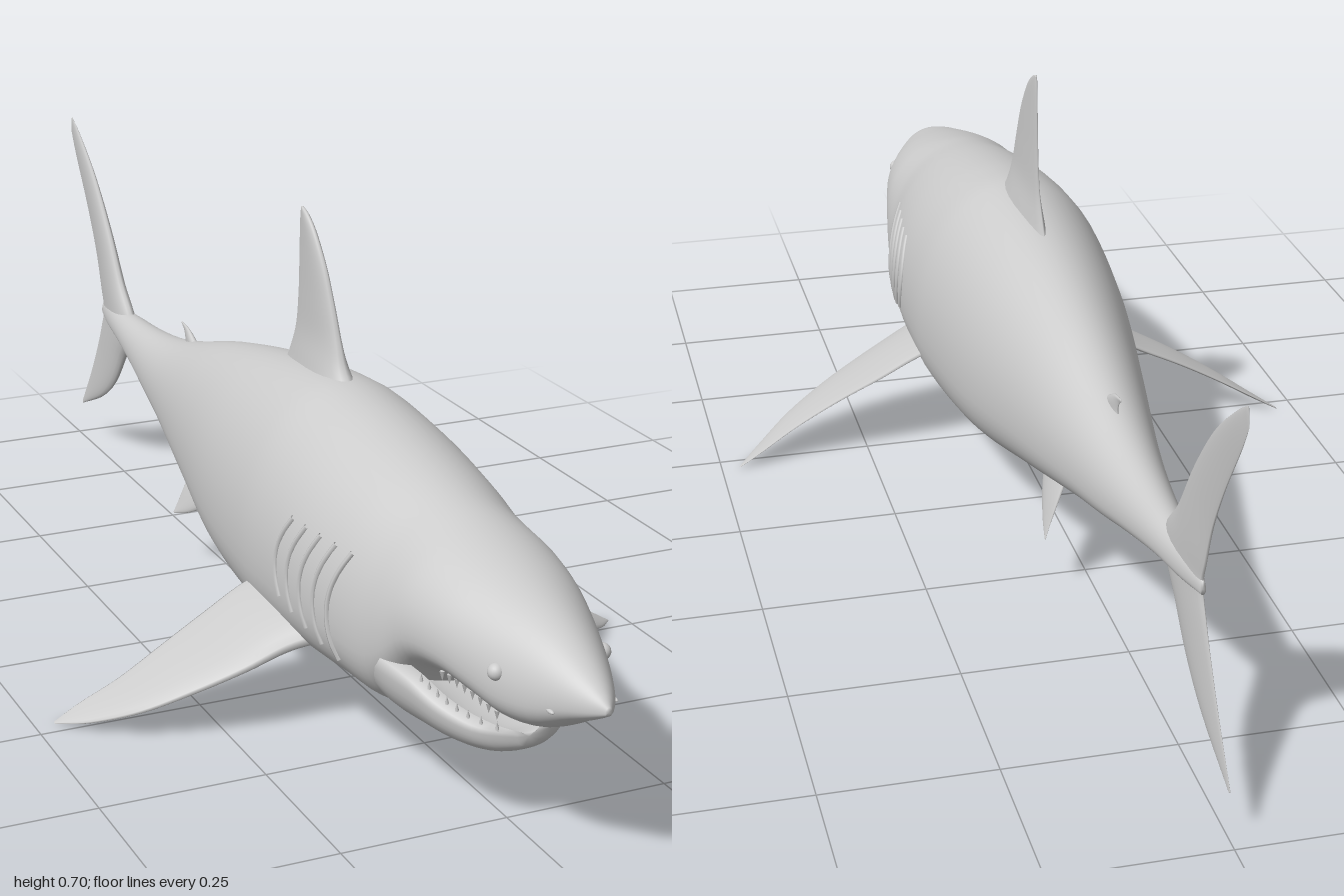
import * as THREE from 'three';

const material = new THREE.MeshStandardMaterial({ color: 0xcccccc, side: THREE.DoubleSide });
const V = (x, y, z) => new THREE.Vector3(x, y, z);

// Smooth interpolation of table rows [key, ...values], keys ascending
function at(table, key) {
  let i = 0;
  while (i < table.length - 2 && key > table[i + 1][0]) i++;
  const a = table[i], b = table[i + 1];
  const p = table[Math.max(i - 1, 0)], n = table[Math.min(i + 2, table.length - 1)];
  const d = b[0] - a[0], t = (key - a[0]) / d, t2 = t * t, t3 = t2 * t;
  return a.slice(1).map((v, j) => {
    const k = j + 1;
    const ma = (b[k] - p[k]) / (b[0] - p[0]) * d, mb = (n[k] - a[k]) / (n[0] - a[0]) * d;
    return (2 * t3 - 3 * t2 + 1) * v + (t3 - 2 * t2 + t) * ma + (3 * t2 - 2 * t3) * b[k] + (t3 - t2) * mb;
  });
}

// Closed skin over rings of points, turned outwards by its signed volume
function loft(rings) {
  const n = rings[0].length, pts = rings.flat(), index = [];
  for (let r = 0; r < rings.length - 1; r++) {
    for (let k = 0; k < n; k++) {
      const a = r * n + k, b = r * n + (k + 1) % n;
      index.push(a, b, a + n, b, b + n, a + n);
    }
  }
  for (const [r, flip] of [[0, true], [rings.length - 1, false]]) {
    const c = pts.length;
    pts.push(rings[r].reduce((s, p) => s.add(p), V(0, 0, 0)).divideScalar(n));
    for (let k = 0; k < n; k++) {
      const a = r * n + k, b = r * n + (k + 1) % n;
      index.push(...(flip ? [c, b, a] : [c, a, b]));
    }
  }
  let volume = 0;
  for (let i = 0; i < index.length; i += 3) {
    volume += pts[index[i]].dot(pts[index[i + 1]].clone().cross(pts[index[i + 2]]));
  }
  if (volume < 0) index.reverse();
  const g = new THREE.BufferGeometry().setFromPoints(pts);
  g.setIndex(index);
  g.computeVertexNormals();
  return g;
}

// Body and upper head: z, top, bottom, half width
const BODY = [
  [-0.84, 0.305, 0.285, 0.004], [-0.78, 0.318, 0.275, 0.016], [-0.7, 0.322, 0.267, 0.028],
  [-0.6, 0.325, 0.245, 0.04], [-0.5, 0.335, 0.22, 0.054], [-0.4, 0.355, 0.198, 0.07],
  [-0.2, 0.41, 0.148, 0.107], [0, 0.45, 0.103, 0.143], [0.2, 0.472, 0.085, 0.165],
  [0.3, 0.465, 0.09, 0.168], [0.4, 0.45, 0.097, 0.166], [0.5, 0.432, 0.102, 0.156],
  [0.58, 0.415, 0.105, 0.144], [0.62, 0.407, 0.135, 0.139], [0.67, 0.395, 0.195, 0.13],
  [0.74, 0.378, 0.213, 0.116], [0.8, 0.362, 0.206, 0.1], [0.85, 0.348, 0.197, 0.084],
  [0.9, 0.33, 0.206, 0.064], [0.95, 0.306, 0.234, 0.039], [0.98, 0.289, 0.25, 0.021],
  [1, 0.274, 0.262, 0.005],
];
const MID = 0.37, LOW = 2.5;

function bodyRing(z) {
  const [top, bottom, w] = at(BODY, z), mid = bottom + MID * (top - bottom);
  return Array.from({ length: 56 }, (_, k) => {
    const a = k / 56 * Math.PI * 2, c = Math.cos(a), s = Math.sin(a);
    if (s >= 0) return V(w * c, mid + (top - mid) * s, z);
    return V(w * Math.sign(c) * Math.abs(c) ** (2 / LOW), mid - (mid - bottom) * (-s) ** (2 / LOW), z);
  });
}

// Point on the flank at a given height
function flank(y, z, side) {
  const [top, bottom, w] = at(BODY, z), mid = bottom + MID * (top - bottom);
  const v = y > mid ? (y - mid) / (top - mid) : (mid - y) / (mid - bottom), e = y > mid ? 2 : LOW;
  return V(side * w * Math.max(0, 1 - v ** e) ** (1 / e), y, z);
}

// Lower jaw: z, half width, bottom, lip height, mouth floor
const JAW = [
  [0.55, 0.13, 0.112, 0.2, 0.17], [0.62, 0.136, 0.106, 0.212, 0.165], [0.68, 0.122, 0.107, 0.203, 0.155],
  [0.73, 0.103, 0.11, 0.182, 0.147], [0.77, 0.077, 0.115, 0.166, 0.145],
  [0.79, 0.052, 0.122, 0.159, 0.148], [0.803, 0.018, 0.133, 0.152, 0.149],
];
function jawRing(z) {
  const [w, bottom, lip, floor] = at(JAW, z), inner = w - Math.min(0.022, 0.3 * w), ring = [];
  for (let k = 0; k <= 24; k++) {
    const a = k / 24 * Math.PI, c = Math.cos(a), s = Math.max(0, Math.sin(a));
    ring.push(V(w * Math.sign(c) * Math.abs(c) ** 0.8, lip - (lip - bottom) * s ** 0.8, z));
  }
  for (let k = 24; k >= 0; k--) {
    const a = k / 24 * Math.PI;
    ring.push(V(inner * Math.cos(a), lip + 0.003 - (lip - floor) * Math.sin(a), z));
  }
  return ring;
}

// Fin from stations [leading xyz, trailing xyz, half thickness], thickened along normal
function fin(stations, normal) {
  const table = stations.map((s, i) => [i, ...s]), rings = [], steps = (stations.length - 1) * 6;
  for (let i = 0; i <= steps; i++) {
    const [lx, ly, lz, tx, ty, tz, h] = at(table, i / 6);
    rings.push(Array.from({ length: 20 }, (_, k) => {
      const a = k / 20 * Math.PI * 2, c = (1 - Math.cos(a)) / 2;
      return V(lx, ly, lz).lerp(V(tx, ty, tz), c).addScaledVector(normal, h * Math.sin(a) * (1.3 - 0.8 * c));
    }));
  }
  return loft(rings);
}
// Upright fin in the middle plane: [leading z, y, trailing z, y, half thickness]
const uprightFin = rows => fin(rows.map(([lz, ly, tz, ty, h]) => [0, ly, lz, 0, ty, tz, h]), V(1, 0, 0));

export function createModel() {
  const model = new THREE.Group();
  const add = (name, geometry) => {
    const mesh = new THREE.Mesh(geometry, material);
    mesh.name = name;
    model.add(mesh);
    return mesh;
  };
  const range = (from, to, n, f) => Array.from({ length: n + 1 }, (_, i) => f(from + (to - from) * i / n));

  add('body', loft(range(-0.84, 1, 130, bodyRing)));
  add('lowerJaw', loft(range(0.55, 0.803, 36, jawRing)));

  add('dorsalFin', uprightFin([
    [0.27, 0.44, 0.0, 0.435, 0.03], [0.225, 0.48, 0.02, 0.465, 0.021], [0.203, 0.52, 0.042, 0.51, 0.013],
    [0.18, 0.57, 0.051, 0.565, 0.01], [0.15, 0.625, 0.054, 0.62, 0.008], [0.113, 0.67, 0.056, 0.668, 0.006],
    [0.085, 0.692, 0.058, 0.688, 0.004], [0.066, 0.7, 0.06, 0.699, 0.002],
  ]));
  add('secondDorsalFin', uprightFin([
    [-0.35, 0.345, -0.43, 0.335, 0.008], [-0.385, 0.362, -0.425, 0.353, 0.006],
    [-0.41, 0.374, -0.432, 0.368, 0.003], [-0.44, 0.379, -0.443, 0.376, 0.001],
  ]));
  add('analFin', uprightFin([
    [-0.43, 0.23, -0.5, 0.235, 0.008], [-0.465, 0.207, -0.497, 0.215, 0.005], [-0.506, 0.195, -0.51, 0.198, 0.001],
  ]));
  // Both tail lobes in one sweep, upper tip to lower tip
  add('tailFin', uprightFin([
    [-0.994, 0.628, -1, 0.6, 0.001], [-0.95, 0.6, -0.975, 0.558, 0.004], [-0.875, 0.54, -0.918, 0.475, 0.007],
    [-0.8, 0.455, -0.875, 0.4, 0.01], [-0.74, 0.37, -0.85, 0.335, 0.013], [-0.68, 0.297, -0.838, 0.295, 0.015],
    [-0.735, 0.225, -0.855, 0.255, 0.012], [-0.79, 0.162, -0.88, 0.21, 0.009],
    [-0.86, 0.115, -0.92, 0.148, 0.006], [-0.972, 0.068, -0.976, 0.072, 0.001],
  ]));

  for (const side of [1, -1]) {
    const label = side > 0 ? 'left' : 'right';
    const sideFin = (rows, n) => fin(
      rows.map(([lx, ly, lz, tx, ty, tz, h]) => [side * lx, ly, lz, side * tx, ty, tz, h]),
      V(side * n[0], n[1], n[2]).normalize());
    add(label + 'PectoralFin', sideFin([
      [0.1, 0.155, 0.42, 0.1, 0.195, 0.22, 0.024], [0.165, 0.135, 0.395, 0.165, 0.172, 0.218, 0.018],
      [0.23, 0.107, 0.383, 0.23, 0.137, 0.221, 0.013], [0.3, 0.076, 0.36, 0.3, 0.1, 0.228, 0.01],
      [0.37, 0.043, 0.325, 0.37, 0.06, 0.231, 0.007], [0.43, 0.015, 0.272, 0.43, 0.026, 0.222, 0.004],
      [0.47, 0.001, 0.226, 0.47, 0.002, 0.22, 0.001],
    ], [0.5, 0.86, 0.15]));
    add(label + 'PelvicFin', sideFin([
      [0.035, 0.17, -0.16, 0.035, 0.185, -0.28, 0.012], [0.052, 0.132, -0.2, 0.054, 0.145, -0.292, 0.008],
      [0.066, 0.104, -0.25, 0.067, 0.112, -0.296, 0.004], [0.075, 0.088, -0.296, 0.075, 0.09, -0.3, 0.001],
    ], [0.9, 0.45, 0]));

    // Five bowed gill slits
    for (let i = 0; i < 5; i++) {
      const z = 0.515 - i * 0.039, low = 0.165 + i * 0.01;
      const path = range(0, 1, 8, t =>
        flank(low + (0.328 - low) * t, z - 0.022 * Math.sin(t * Math.PI) + 0.012 * t, side));
      add(label + 'GillSlit', new THREE.TubeGeometry(new THREE.CatmullRomCurve3(path), 24, 0.0045, 6));
    }

    const eye = add(label + 'Eye', new THREE.SphereGeometry(0.012, 20, 14));
    eye.position.copy(flank(0.275, 0.85, side * 0.96));
    const nostril = add(label + 'Nostril', new THREE.SphereGeometry(0.006, 12, 8));
    nostril.position.copy(flank(0.25, 0.935, side));
    nostril.scale.set(0.6, 0.5, 1.6);

    // Small teeth along both lips
    for (let i = 0; i < 8; i++) {
      const lowerZ = 0.79 - i * 0.014, [w, , lip] = at(JAW, lowerZ);
      const lower = add(label + 'LowerTooth', new THREE.ConeGeometry(0.004, 0.014, 5));
      lower.position.set(side * (w - Math.min(0.013, 0.2 * w)), lip + 0.005, lowerZ);
      const upperZ = 0.835 - i * 0.016, [, bottom, uw] = at(BODY, upperZ);
      const upper = add(label + 'UpperTooth', new THREE.ConeGeometry(0.004, 0.014, 5));
      upper.position.set(side * uw * 0.75, bottom + 0.006, upperZ);
      upper.rotation.x = Math.PI;
    }
  }
  return model;
}
